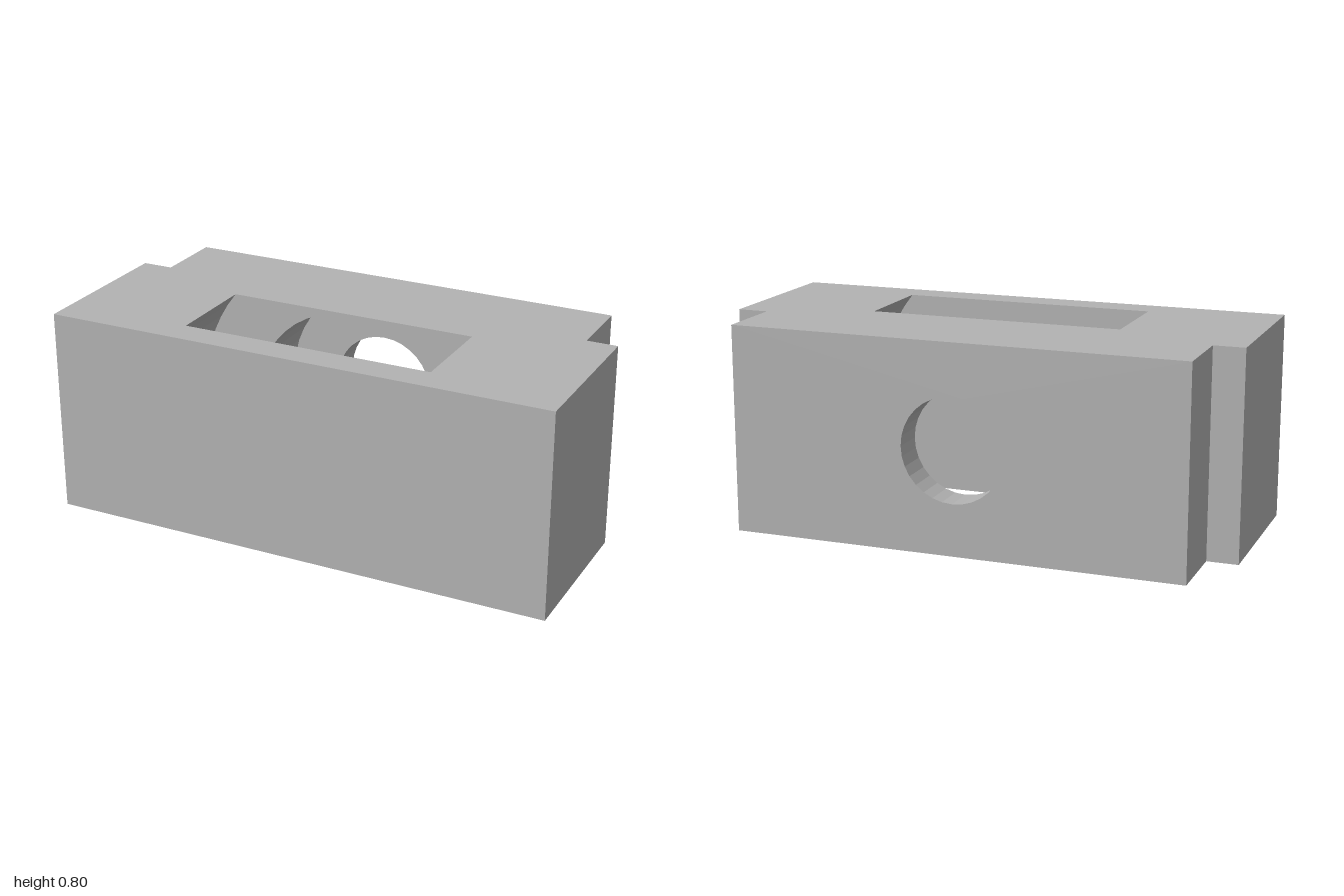
import * as THREE from 'three';

const H = 0.8, MID = 0.4;            // block height and bore axis height
const DEPTH = 0.46, STEP = -0.18;    // half depth, shoulder position
const SLOT_FRONT = 0.34, SLOT_BACK = -0.03, BORE_FLOOR = -0.33;
const SLOT_R = 0.636, BORE_R = 0.398, HOLE_R = 0.2;

const v = (x, y) => new THREE.Vector2(x, y);

// Points along an arc centred on the bore axis, anticlockwise
function arc(r, a0, a1, n) {
  return Array.from({ length: n + 1 }, (_, i) => {
    const a = a0 + (a1 - a0) * i / n;
    return v(r * Math.cos(a), MID + r * Math.sin(a));
  });
}

// Flat face at depth z, looking along +z or (flipped) -z
function face(points, holes, z, flip = false) {
  const shape = new THREE.Shape(points);
  holes.forEach(h => shape.holes.push(new THREE.Path(h)));
  const geo = new THREE.ShapeGeometry(shape);
  if (flip) {
    geo.setIndex(Array.from(geo.index.array).reverse());
    geo.attributes.normal.array.fill(0);
    geo.computeVertexNormals();
  }
  return geo.translate(0, 0, z);
}

// Sweep of an open line along z; an anticlockwise line faces outward
function wall(points, z0, z1) {
  const pos = [];
  for (let i = 0; i < points.length - 1; i++) {
    const a = points[i], b = points[i + 1];
    pos.push(a.x, a.y, z0, b.x, b.y, z0, b.x, b.y, z1);
    pos.push(a.x, a.y, z0, b.x, b.y, z1, a.x, a.y, z1);
  }
  const geo = new THREE.BufferGeometry();
  geo.setAttribute('position', new THREE.Float32BufferAttribute(pos, 3));
  geo.computeVertexNormals();
  return geo;
}

export function createModel() {
  const group = new THREE.Group();
  const grey = new THREE.MeshStandardMaterial({ color: 0xb2b2b2 });
  grey.name = 'plain grey';
  grey.side = THREE.DoubleSide;
  const add = (name, geo) => {
    const mesh = new THREE.Mesh(geo, grey);
    mesh.name = name;
    group.add(mesh);
  };

  // Stepped plan of the block, drawn as (x, -z) and open at the back
  const plan = [
    v(-0.88, DEPTH), v(-0.88, -STEP), v(-1, -STEP), v(-1, -DEPTH),
    v(1, -DEPTH), v(1, -STEP), v(0.88, -STEP), v(0.88, DEPTH),
  ];
  const end = Math.asin(MID / SLOT_R);
  const mouth = SLOT_R * Math.cos(end);
  const opening = [
    v(-mouth, -SLOT_FRONT), v(-mouth, -SLOT_BACK),
    v(mouth, -SLOT_BACK), v(mouth, -SLOT_FRONT),
  ];
  add('outerSides', wall(plan, 0, H).rotateX(-Math.PI / 2));
  add('top', face(plan, [opening], H).rotateX(-Math.PI / 2));
  add('bottom', face(plan, [opening], 0, true).rotateX(-Math.PI / 2));

  // Back face pierced by the round hole
  const hole = arc(HOLE_R, 0, Math.PI * 2, 32);
  const bore = arc(BORE_R, 0, Math.PI * 2, 40);
  const ring = p => p.slice(0, -1);
  const back = [v(-0.88, 0), v(0.88, 0), v(0.88, H), v(-0.88, H)];
  add('back', face(back, [ring(hole)], -DEPTH, true));
  add('backHole', wall([...hole].reverse(), -DEPTH, BORE_FLOOR));

  // Wider bore between the slot and the back hole
  add('boreFloor', face(ring(bore), [ring(hole)], BORE_FLOOR));
  add('boreWall', wall([...bore].reverse(), BORE_FLOOR, SLOT_BACK));

  // Wheel-shaped slot, cut off by the top and bottom
  const rightEnd = arc(SLOT_R, -end, end, 14);
  const leftEnd = arc(SLOT_R, Math.PI - end, Math.PI + end, 14);
  const slot = [...rightEnd, ...leftEnd];
  add('slotFront', face(slot, [], SLOT_FRONT, true));
  add('slotBack', face(slot, [ring(bore)], SLOT_BACK));
  add('slotLeftEnd', wall([...rightEnd].reverse(), SLOT_BACK, SLOT_FRONT));
  add('slotRightEnd', wall([...leftEnd].reverse(), SLOT_BACK, SLOT_FRONT));

  return group;
}
